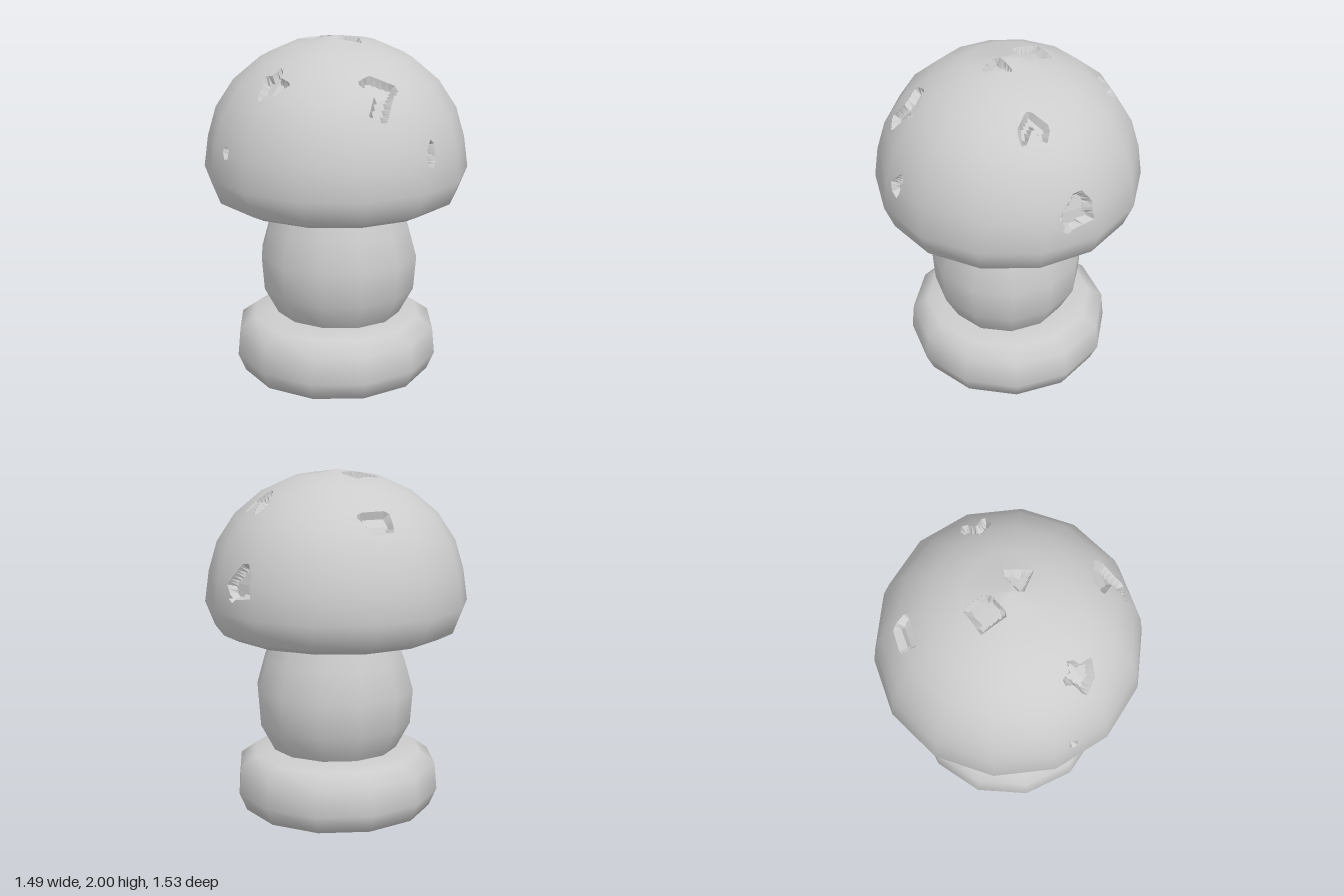
import * as THREE from 'three';

const SEGMENTS = 14;
const DEPTH = 0.04;

function lathe(points, segments) {
  return new THREE.LatheGeometry(points.map(([r, y]) => new THREE.Vector2(r, y)), segments);
}

// Pit outlines: the two axes they are drawn on, and the axis they are projected along (positive side)
const PITS = [
  { axes: 'xzy', pts: [[-0.15, -0.2], [-0.03, -0.1], [-0.11, 0.04], [-0.25, -0.06]] },
  { axes: 'xzy', pts: [[0.11, -0.09], [0.17, 0.08], [0, 0.07]] },
  { axes: 'xzy', pts: [[-0.28, -0.55], [-0.19, -0.5], [-0.35, -0.37], [-0.4, -0.46]] },
  { axes: 'xzy', pts: [[0.3, -0.38], [0.4, -0.4], [0.37, -0.31], [0.48, -0.31], [0.42, -0.24], [0.31, -0.25]] },
  { axes: 'xzy', pts: [[-0.34, 0.37], [-0.25, 0.41], [-0.19, 0.37], [-0.19, 0.45], [-0.12, 0.49], [-0.2, 0.54], [-0.31, 0.53], [-0.29, 0.45]] },
  { axes: 'xzy', pts: [[0.27, 0.37], [0.42, 0.34], [0.4, 0.52], [0.31, 0.56], [0.32, 0.47], [0.22, 0.45]] },
  { axes: 'xyz', pts: [[-0.43, 1.54], [-0.51, 1.43], [-0.48, 1.33], [-0.46, 1.44]] },
  { axes: 'zyx', pts: [[0.31, 1.55], [0.35, 1.4], [0.4, 1.32], [0.42, 1.44]] },
  { axes: 'zyx', pts: [[-0.57, 1.56], [-0.64, 1.46], [-0.66, 1.35], [-0.58, 1.33], [-0.5, 1.2], [-0.55, 1.35], [-0.52, 1.4]] },
];

function inside(pts, a, b) {
  let hit = false;
  pts.forEach(([x1, y1], i) => {
    const [x2, y2] = pts[(i + 1) % pts.length];
    if ((y1 > b) !== (y2 > b) && a < x1 + ((b - y1) / (y2 - y1)) * (x2 - x1)) hit = !hit;
  });
  return hit;
}

// Vector from (a, b) to the nearest point of the outline
function toOutline(pts, a, b) {
  let best = [9, 9];
  pts.forEach(([x1, y1], i) => {
    const [x2, y2] = pts[(i + 1) % pts.length];
    const dx = x2 - x1, dy = y2 - y1;
    const t = THREE.MathUtils.clamp(((a - x1) * dx + (b - y1) * dy) / (dx * dx + dy * dy), 0, 1);
    const step = [x1 + t * dx - a, y1 + t * dy - b];
    if (Math.hypot(...step) < Math.hypot(...best)) best = step;
  });
  return best;
}

// Snap vertices to the pit rims and sink the ones inside; returns true if sunk
function carve(p, n) {
  for (const { axes: [u, v, w], pts } of PITS) {
    if (p[w] < 0.1 || n[w] < 0.2 || (w === 'y' && p.y < 1.4)) continue;
    const [da, db] = toOutline(pts, p[u], p[v]);
    if (Math.hypot(da, db) < 0.011) {
      p[u] += da;
      p[v] += db;
      p[w] -= (n[u] * da + n[v] * db) / n[w];
      return false;
    }
    if (inside(pts, p[u], p[v])) {
      p.addScaledVector(n, -DEPTH);
      return true;
    }
  }
  return false;
}

// Subdivide the faceted cap, keeping its outline and smooth normals, and carve the pits
function capGeometry(profile) {
  const low = lathe(profile, SEGMENTS);
  const rows = profile.length, across = 14, up = 10;
  const sample = (name, i, j) => {
    const s = Math.min(Math.floor(i / across), SEGMENTS - 1), r = Math.min(Math.floor(j / up), rows - 2);
    const get = (a, b) => new THREE.Vector3().fromBufferAttribute(low.attributes[name], a * rows + b);
    const fu = i / across - s, fv = j / up - r;
    return get(s, r).lerp(get(s + 1, r), fu).lerp(get(s, r + 1).lerp(get(s + 1, r + 1), fu), fv);
  };
  const nu = SEGMENTS * across, nv = (rows - 1) * up;
  const grid = [];
  for (let i = 0; i <= nu; i++) {
    for (let j = 0; j <= nv; j++) {
      const p = sample('position', i, j), n = sample('normal', i, j).normalize();
      grid.push({ p, n, sunk: carve(p, n) });
    }
  }
  const pos = [], nor = [], face = new THREE.Triangle(), flat = new THREE.Vector3();
  const addFace = (...ids) => {
    const c = ids.map((k) => grid[k]);
    face.set(c[0].p, c[1].p, c[2].p);
    if (face.getArea() < 1e-9) return;
    face.getNormal(flat);
    const sunk = c.some((k) => k.sunk);
    for (const k of c) {
      pos.push(...k.p.toArray());
      nor.push(...(sunk ? flat : k.n).toArray());
    }
  };
  for (let i = 0; i < nu; i++) {
    for (let j = 0; j < nv; j++) {
      const a = i * (nv + 1) + j, b = a + nv + 1;
      addFace(a, b, a + 1);
      addFace(b + 1, a + 1, b);
    }
  }
  const geo = new THREE.BufferGeometry();
  geo.setAttribute('position', new THREE.Float32BufferAttribute(pos, 3));
  geo.setAttribute('normal', new THREE.Float32BufferAttribute(nor, 3));
  return geo;
}

export function createModel() {
  const group = new THREE.Group();
  group.name = 'mushroom';
  const grey = new THREE.MeshStandardMaterial({ color: 0xcccccc });
  grey.name = 'light grey';
  const add = (name, geo) => {
    const mesh = new THREE.Mesh(geo, grey);
    mesh.name = name;
    group.add(mesh);
    return mesh;
  };

  // Domed cap with sunken spots
  add('cap', capGeometry([
    [0, 1.02], [0.36, 1.02], [0.62, 1.055], [0.71, 1.1], [0.765, 1.24], [0.74, 1.42],
    [0.69, 1.59], [0.585, 1.75], [0.43, 1.88], [0.24, 1.965], [0, 2],
  ]));

  // Bulging stem
  const stem = add('stem', lathe([
    [0.3, 0.3], [0.37, 0.36], [0.455, 0.52], [0.47, 0.72], [0.42, 0.9], [0.37, 1.03],
  ], 12));
  stem.position.x = 0.015;
  stem.scale.z = 0.95;

  // Rounded foot
  add('foot', lathe([
    [0, 0], [0.56, 0.015], [0.605, 0.12], [0.59, 0.28], [0.5, 0.345], [0.36, 0.365], [0, 0.365],
  ], 12));

  return group;
}
